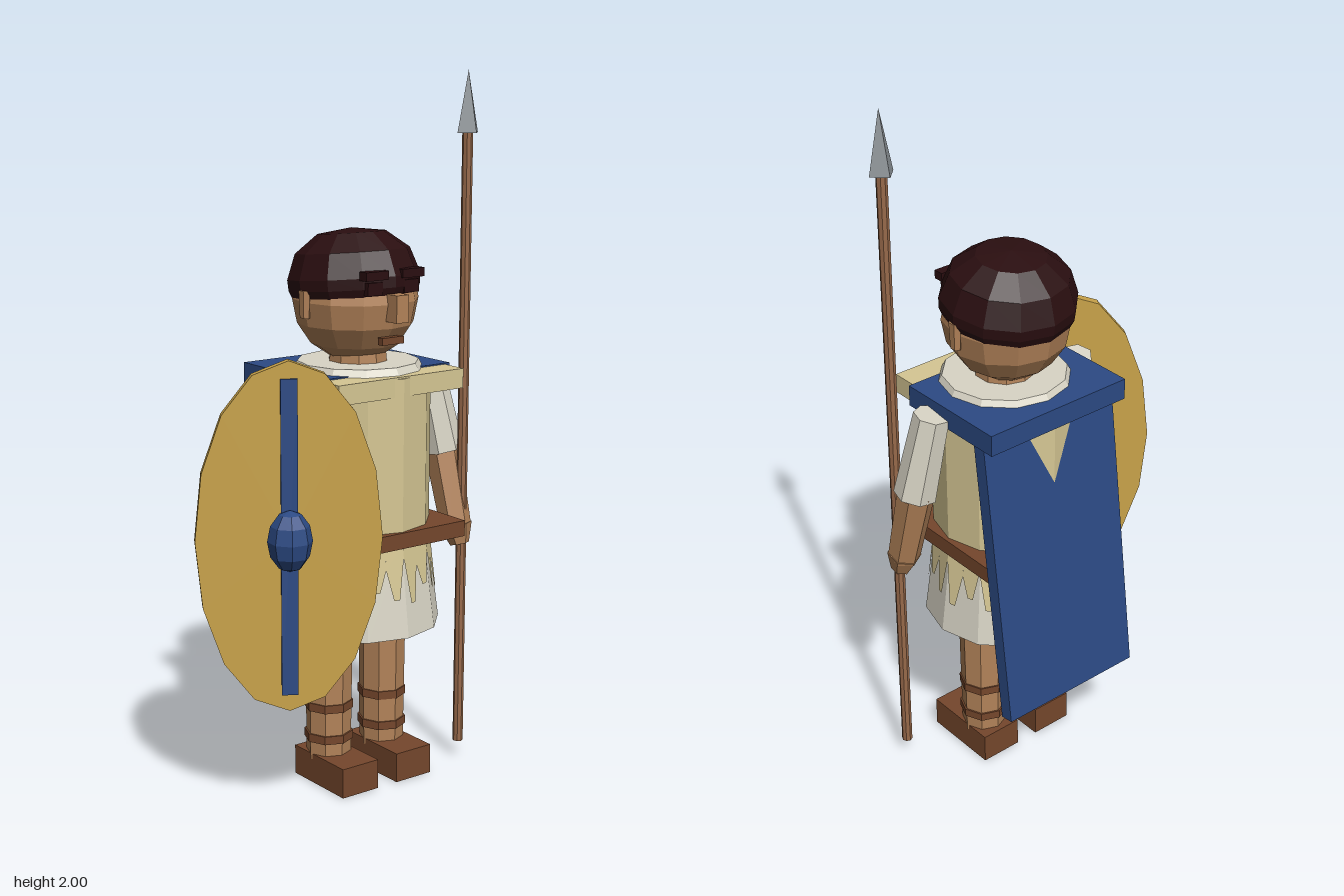
import * as THREE from 'three';

const mat = (name, color, extra = {}) => {
  const m = new THREE.MeshStandardMaterial({ color, flatShading: true, ...extra });
  m.name = name;
  return m;
};

export function createModel() {
  const skin = mat('skin', 0xb38359);
  const hair = mat('dark hair', 0x2a0e10);
  const blue = mat('blue cloth', 0x2c4a84);
  const tan = mat('tan armour', 0xd6c794, { side: THREE.DoubleSide });
  const cream = mat('cream linen', 0xd9d5c6);
  const gold = mat('ochre shield', 0xc9a34a);
  const leather = mat('brown leather', 0x75472c);
  const wood = mat('spear wood', 0x97694a);
  const metal = mat('grey metal', 0x8f9599);

  const root = new THREE.Group();
  root.name = 'spearman';
  const body = new THREE.Group();
  body.name = 'body';
  body.position.x = 0.11;
  root.add(body);

  const add = (parent, name, geo, material, x = 0, y = 0, z = 0) => {
    const m = new THREE.Mesh(geo, material);
    m.name = name;
    m.position.set(x, y, z);
    parent.add(m);
    return m;
  };
  const box = (parent, name, material, w, h, d, x, y, z) =>
    add(parent, name, new THREE.BoxGeometry(w, h, d), material, x, y, z);
  const cyl = (parent, name, material, rt, rb, h, n, x, y, z) =>
    add(parent, name, new THREE.CylinderGeometry(rt, rb, h, n), material, x, y, z);
  // tapered limb between two points
  const limb = (parent, name, material, a, b, ra, rb, n) => {
    const A = new THREE.Vector3(...a), B = new THREE.Vector3(...b);
    const d = A.clone().sub(B);
    const m = cyl(parent, name, material, ra, rb, d.length(), n, 0, 0, 0);
    m.position.copy(A).add(B).multiplyScalar(0.5);
    m.quaternion.setFromUnitVectors(new THREE.Vector3(0, 1, 0), d.normalize());
    return m;
  };

  // head and face
  add(body, 'head', new THREE.SphereGeometry(0.176, 12, 8), skin, 0, 1.386, -0.012);
  cyl(body, 'neck', skin, 0.08, 0.09, 0.1, 10, 0, 1.2, 0);
  box(body, 'nose', skin, 0.042, 0.075, 0.06, 0, 1.378, 0.166);
  box(body, 'mouth', leather, 0.075, 0.02, 0.02, 0, 1.287, 0.146);

  // cap of hair, lower at the back
  const cap = [[0.17, -0.045], [0.183, -0.015], [0.185, 0.015], [0.16, 0.085], [0.095, 0.135], [0.0001, 0.148]]
    .map(p => new THREE.Vector2(...p));
  const hairMesh = add(body, 'hair', new THREE.LatheGeometry(cap, 12), hair, 0, 1.43, -0.018);
  hairMesh.rotation.x = -0.1;

  for (const s of [-1, 1]) {
    box(body, 'brow', hair, 0.075, 0.024, 0.03, s * 0.062, 1.468, 0.15);
    box(body, 'eye', hair, 0.05, 0.035, 0.025, s * 0.062, 1.432, 0.144);
    const ear = cyl(body, 'ear', skin, 0.022, 0.018, 0.075, 6, s * 0.172, 1.382, -0.012);
    ear.scale.x = 0.7;
  }

  // torso, collar and skirt
  cyl(body, 'torso', tan, 0.205, 0.205, 0.46, 12, 0, 0.96, 0);
  cyl(body, 'collar', cream, 0.17, 0.192, 0.04, 12, 0, 1.195, 0);
  cyl(body, 'skirt', cream, 0.2, 0.235, 0.265, 12, 0, 0.598, 0);
  box(body, 'frontYoke', tan, 0.43, 0.055, 0.078, 0, 1.167, 0.159);
  box(body, 'belt', leather, 0.434, 0.045, 0.4, 0, 0.74, 0.013);

  // pointed armour strips hanging over the skirt, two on each of the twelve sides
  const onSkirt = (u, y) => {
    const r = 0.205 + (0.73 - y) * 0.132;
    const side = Math.floor(u / 2), t = (u - side * 2) / 2;
    const corner = k => [Math.sin(k * Math.PI / 6) * r, Math.cos(k * Math.PI / 6) * r];
    const a = corner(side), b = corner(side + 1);
    return [a[0] + (b[0] - a[0]) * t, y, a[1] + (b[1] - a[1]) * t];
  };
  const pos = [];
  for (let i = 0; i < 24; i++) {
    const root1 = 0.69 - 0.03 * (i % 2), root2 = 0.69 - 0.03 * ((i + 1) % 2);
    const tip = [0.56, 0.6, 0.575][i % 3];
    const tl = onSkirt(i, 0.73), tr = onSkirt(i + 0.999, 0.73);
    const bl = onSkirt(i, root1), br = onSkirt(i + 0.999, root2);
    const p = onSkirt(i + 0.35, tip), q = onSkirt(i + 0.65, tip);
    for (const t of [[tl, bl, tr], [tr, bl, br], [bl, p, br], [br, p, q]]) pos.push(...t.flat());
  }
  const strips = new THREE.BufferGeometry();
  strips.setAttribute('position', new THREE.Float32BufferAttribute(pos, 3));
  strips.computeVertexNormals();
  add(body, 'armourStrips', strips, tan);

  // cape
  box(body, 'capeShoulders', blue, 0.46, 0.06, 0.345, 0, 1.168, -0.052);
  const cape = box(body, 'cape', blue, 0.445, 0.87, 0.04, 0, 0.735, -0.212);
  cape.rotation.x = 0.122;

  // arms, legs and shoes
  for (const s of [-1, 1]) {
    limb(body, 'sleeve', cream, [s * 0.248, 1.17, -0.002], [s * 0.288, 0.925, 0.03], 0.05, 0.06, 7);
    limb(body, 'forearm', skin, [s * 0.286, 0.94, 0.026], [s * 0.296, 0.70, 0.084], 0.053, 0.045, 6);
    limb(body, 'hand', skin, [s * 0.296, 0.71, 0.082], [s * 0.3, 0.655, 0.096], 0.048, 0.028, 6);
    const x = s * 0.096;
    cyl(body, 'leg', skin, 0.069, 0.064, 0.46, 8, x, 0.3, -0.006);
    for (const y of [0.135, 0.228]) cyl(body, 'legStrap', leather, 0.07, 0.07, 0.024, 8, x, y, -0.006);
    box(body, 'shoe', leather, 0.124, 0.086, 0.23, x, 0.043, 0.03);
  }

  // spear
  const spear = new THREE.Group();
  spear.name = 'spear';
  spear.position.set(0.415, 0, 0.096);
  root.add(spear);
  cyl(spear, 'spearShaft', wood, 0.015, 0.015, 1.79, 8, 0, 0.945, 0);
  add(spear, 'spearHead', new THREE.ConeGeometry(0.037, 0.17, 4), metal, 0, 1.915, 0);

  // oval shield turned outwards
  const shield = new THREE.Group();
  shield.name = 'shield';
  shield.position.set(-0.236, 0.792, 0.152);
  shield.rotation.y = -0.51;
  root.add(shield);
  const disc = new THREE.CylinderGeometry(1, 1, 0.028, 16);
  disc.rotateX(Math.PI / 2);
  disc.scale(0.25, 0.48, 1);
  add(shield, 'shieldBoard', disc, gold);
  box(shield, 'shieldStripe', blue, 0.045, 0.865, 0.009, 0, 0, 0.0165);
  const boss = add(shield, 'shieldBoss', new THREE.SphereGeometry(0.061, 8, 6), blue, 0, 0, 0.03);
  boss.scale.y = 1.38;

  return root;
}
